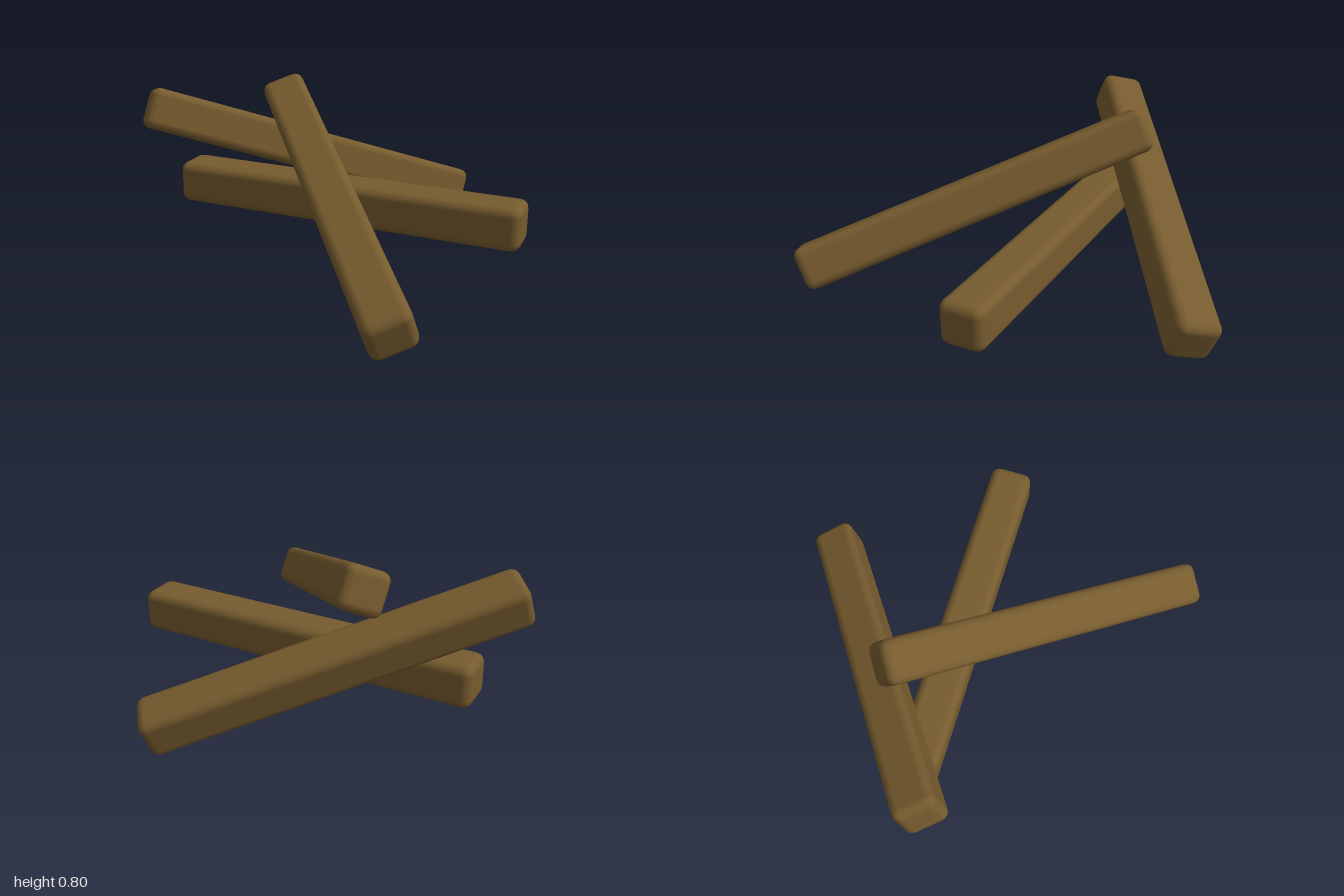
import * as THREE from 'three';
import { RoundedBoxGeometry } from 'three/addons/geometries/RoundedBoxGeometry.js';

export function createModel() {
  const group = new THREE.Group();
  group.name = 'beamPile';

  const wood = new THREE.MeshStandardMaterial({ color: 0x765b2e });
  wood.name = 'brown wood';

  // One squared beam with softened edges, shared by all three
  const beamGeometry = new RoundedBoxGeometry(1.755, 0.208, 0.208, 2, 0.042);

  // Place a beam at a centre, along a direction, rolled about its own length
  function addBeam(name, centre, direction, rollDegrees) {
    const along = new THREE.Vector3(...direction).normalize();
    const side = new THREE.Vector3().crossVectors(along, new THREE.Vector3(0, 1, 0)).normalize();
    const up = new THREE.Vector3().crossVectors(side, along);
    const beam = new THREE.Mesh(beamGeometry, wood);
    beam.name = name;
    beam.position.set(...centre);
    beam.quaternion.setFromRotationMatrix(new THREE.Matrix4().makeBasis(along, up, side));
    beam.rotateX(THREE.MathUtils.degToRad(rollDegrees));
    group.add(beam);
  }

  addBeam('levelBeam', [0.096, 0.247, -0.1], [1, 0, 0], 0);
  addBeam('backLeaningBeam', [-0.242, 0.368, -0.432], [1.32, -0.53, -0.92], -15);
  addBeam('frontLeaningBeam', [0.185, 0.405, 0.289], [1.02, -0.55, 1.23], 21);

  return group;
}
